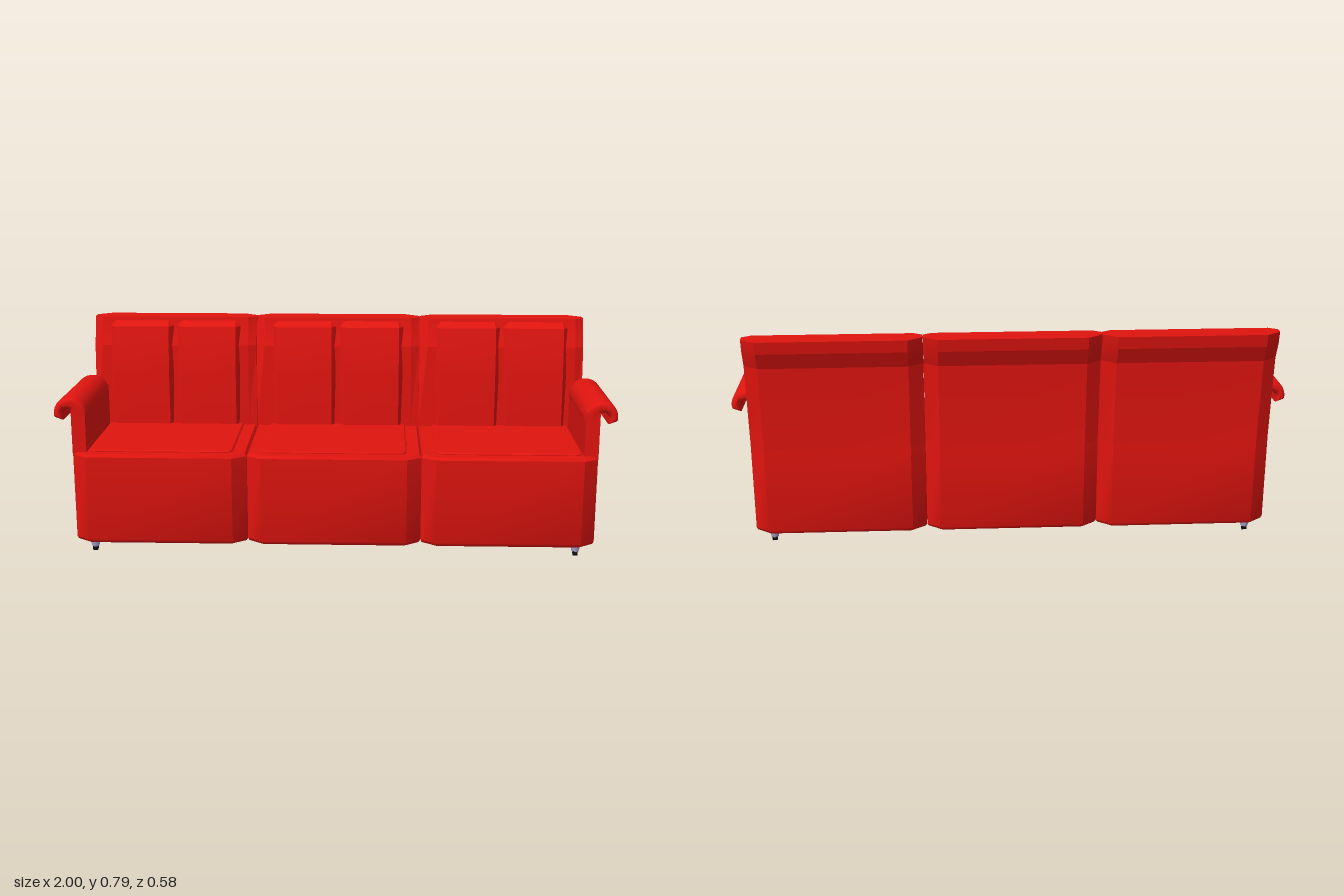
import * as THREE from 'three';
import { toCreasedNormals } from 'three/addons/utils/BufferGeometryUtils.js';

const red = new THREE.MeshStandardMaterial({ color: 0xe0140f });
const lilac = new THREE.MeshStandardMaterial({ color: 0xb0a8d4 });
const black = new THREE.MeshStandardMaterial({ color: 0x101010 });

function add(parent, name, geometry, material = red) {
  const mesh = new THREE.Mesh(geometry, material);
  mesh.name = name;
  parent.add(mesh);
  return mesh;
}

// Stacks plan outlines [x, z] at heights y; outlines run front-left, front-right, back
function loft(levels, crease, capBottom = true) {
  const pos = [];
  const n = levels[0].plan.length;
  const pt = (l, i) => [l.plan[i % n][0], l.y, l.plan[i % n][1]];
  const cap = (l, up) => {
    const c = [0, l.y, 0];
    l.plan.forEach(p => { c[0] += p[0] / n; c[2] += p[1] / n; });
    for (let i = 0; i < n; i++) {
      const [a, b] = up ? [pt(l, i), pt(l, i + 1)] : [pt(l, i + 1), pt(l, i)];
      pos.push(...c, ...a, ...b);
    }
  };
  for (let k = 0; k + 1 < levels.length; k++) {
    const lo = levels[k], hi = levels[k + 1];
    for (let i = 0; i < n; i++) {
      pos.push(...pt(lo, i), ...pt(lo, i + 1), ...pt(hi, i + 1));
      pos.push(...pt(lo, i), ...pt(hi, i + 1), ...pt(hi, i));
    }
  }
  if (capBottom) cap(levels[0], false);
  cap(levels[levels.length - 1], true);
  const g = new THREE.BufferGeometry();
  g.setAttribute('position', new THREE.Float32BufferAttribute(pos, 3));
  return toCreasedNormals(g, crease);
}

// Eight-sided plan with chamfered corners
function basePlan(d) {
  const w = 0.311 - d, c = 0.26 - d * 0.6, f = 0.29 - d, b = -0.23 + d;
  return [[-c, f], [c, f], [w, f - 0.036], [w, b + 0.038], [c, b], [-c, b], [-w, b + 0.038], [-w, f - 0.036]];
}

function rectPath(x0, x1, z0, z1) {
  return new THREE.Path([[x0, z0], [x1, z0], [x1, z1], [x0, z1]].map(([x, z]) => new THREE.Vector2(x, -z)));
}

function buildBase(section) {
  add(section, 'seatBase', loft([
    { y: 0.04, plan: basePlan(0.012) }, { y: 0.044, plan: basePlan(0.005) }, { y: 0.054, plan: basePlan(0) },
    { y: 0.362, plan: basePlan(0) }, { y: 0.372, plan: basePlan(0.007) },
  ], 0.6, false));

  // Underside frame with two recesses
  const frame = new THREE.Shape(basePlan(0.012).map(([x, z]) => new THREE.Vector2(x, -z)));
  frame.holes.push(rectPath(-0.21, 0.21, -0.16, 0.02), rectPath(-0.21, 0.21, 0.06, 0.23));
  const under = new THREE.ExtrudeGeometry(frame, { depth: 0.03, bevelEnabled: false });
  add(section, 'undersideFrame', under.rotateX(-Math.PI / 2).translate(0, 0.04, 0));
  add(section, 'undersidePanel', new THREE.BoxGeometry(0.5, 0.01, 0.44).translate(0, 0.07, 0.03));

  // Thin rounded seat pad
  const r = 0.03, x = 0.255, z0 = -0.17, z1 = 0.245;
  const pad = new THREE.Shape();
  pad.moveTo(-x, -z0);
  pad.lineTo(-x, -z1 + r);
  pad.quadraticCurveTo(-x, -z1, -x + r, -z1);
  pad.lineTo(x - r, -z1);
  pad.quadraticCurveTo(x, -z1, x, -z1 + r);
  pad.lineTo(x, -z0);
  const padGeo = new THREE.ExtrudeGeometry(pad, { depth: 0.007, bevelThickness: 0.004, bevelSize: 0.005, bevelSegments: 1 });
  add(section, 'seatPad', padGeo.rotateX(-Math.PI / 2).translate(0, 0.368, 0));
}

function buildBack(section) {
  // y, front at side edge, front inside, rear
  const profile = [
    [0.36, -0.158, -0.156, -0.23], [0.375, -0.158, -0.156, -0.23], [0.68, -0.186, -0.172, -0.256],
    [0.74, -0.208, -0.194, -0.284], [0.785, -0.222, -0.202, -0.292],
  ];
  add(section, 'backFrame', loft(profile.map(([y, e, f, b]) => ({
    y, plan: [[-0.28, f], [0.28, f], [0.311, e], [0.311, b + 0.038], [0.26, b], [-0.26, b], [-0.311, b + 0.038], [-0.311, e]],
  })), 0.25));

  // Two bevelled back cushions: y, front, rear, inset
  const cushion = [
    [0.365, -0.14, -0.18, 0], [0.57, -0.143, -0.2, 0], [0.655, -0.151, -0.21, 0],
    [0.752, -0.171, -0.24, 0], [0.774, -0.202, -0.25, 0.004],
  ];
  for (const side of [-1, 1]) {
    const geo = loft(cushion.map(([y, f, b, d]) => {
      const w = 0.127 - d, edge = Math.max(f - 0.034, b + 0.002);
      return { y, plan: [[-w + 0.022, f], [w - 0.022, f], [w, edge], [w, b], [-w, b], [-w, edge]] };
    }), 0.25);
    add(section, 'backCushion', geo).position.x = side * 0.128;
  }
}

function buildArm() {
  const arm = new THREE.Group();
  add(arm, 'armPanel', new THREE.BoxGeometry(0.05, 0.17, 0.413).translate(0.91, 0.445, 0.0485));

  // Hooked roll curling over the outside of the panel
  const hook = new THREE.Shape();
  hook.moveTo(0.882, 0.495);
  hook.lineTo(0.88, 0.51);
  hook.absarc(0.94, 0.51, 0.06, Math.PI, 0, true);
  hook.lineTo(0.998, 0.498);
  hook.lineTo(0.966, 0.486);
  hook.lineTo(0.968, 0.51);
  hook.absarc(0.95, 0.51, 0.018, 0, Math.PI, false);
  hook.lineTo(0.932, 0.495);
  const t = 0.022, s = 0.014;
  const geo = new THREE.ExtrudeGeometry(hook, {
    depth: 0.41 - 2 * t, curveSegments: 14, bevelThickness: t, bevelSize: s, bevelOffset: -s, bevelSegments: 3,
  });
  add(arm, 'armRoll', toCreasedNormals(geo.translate(0, 0, -0.155 + t), 0.7));
  return arm;
}

function buildCaster() {
  const caster = new THREE.Group();
  caster.name = 'caster';
  add(caster, 'casterFork', new THREE.CylinderGeometry(0.019, 0.013, 0.026, 12).translate(0, 0.029, 0));
  caster.children[0].material = lilac;
  add(caster, 'casterWheel', new THREE.CylinderGeometry(0.013, 0.013, 0.016, 16).rotateZ(Math.PI / 2).translate(0, 0.013, 0), black);
  return caster;
}

export function createModel() {
  const sofa = new THREE.Group();
  sofa.name = 'sofa';

  // Three identical seat sections
  for (const i of [-1, 0, 1]) {
    const section = new THREE.Group();
    section.name = 'seatSection';
    section.position.x = i * 0.623;
    buildBase(section);
    buildBack(section);
    sofa.add(section);
  }

  // Mirrored arms, casters at the four corners
  for (const side of [1, -1]) {
    const arm = buildArm();
    arm.name = side > 0 ? 'leftArm' : 'rightArm';
    arm.scale.x = side;
    sofa.add(arm);
    for (const z of [0.248, -0.188]) {
      const caster = buildCaster();
      caster.position.set(side * 0.87, 0, z);
      sofa.add(caster);
    }
  }
  return sofa;
}
